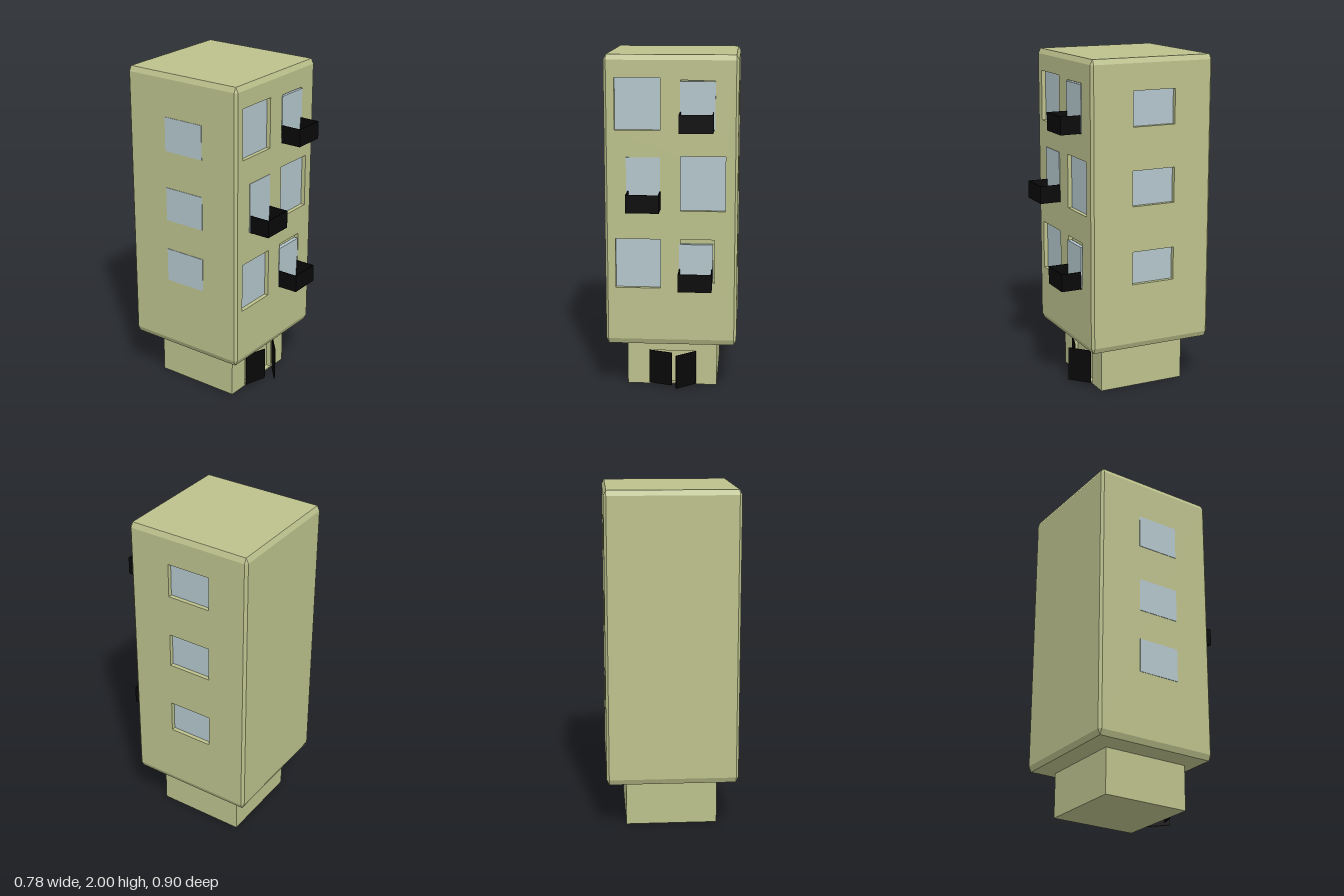
import * as THREE from 'three';

const paint = (color) => new THREE.MeshStandardMaterial({ color });

// Rectangular horizontal ring with corners cut by c, starting on the +x face
const ring = (y, x0, x1, z0, z1, c = 0) => [
  [x1, y, z1 - c], [x1, y, z0 + c], [x1 - c, y, z0], [x0 + c, y, z0],
  [x0, y, z0 + c], [x0, y, z1 - c], [x0 + c, y, z1], [x1 - c, y, z1],
];

// Skin between successive rings; skip(level, side) leaves a face out
function loft(rings, { skip = () => false, caps = false } = {}) {
  const pos = [];
  const n = rings[0].length;
  for (let k = 0; k + 1 < rings.length; k++) {
    for (let i = 0; i < n; i++) {
      if (skip(k, i)) continue;
      const j = (i + 1) % n;
      const [a, b, c, d] = [rings[k][i], rings[k][j], rings[k + 1][j], rings[k + 1][i]];
      pos.push(...a, ...b, ...c, ...a, ...c, ...d);
    }
  }
  if (caps) {
    const lo = rings[0], hi = rings[rings.length - 1];
    for (let i = 1; i + 1 < n; i++) {
      pos.push(...lo[0], ...lo[i + 1], ...lo[i], ...hi[0], ...hi[i], ...hi[i + 1]);
    }
  }
  const g = new THREE.BufferGeometry();
  g.setAttribute('position', new THREE.Float32BufferAttribute(pos, 3));
  g.computeVertexNormals();
  return g;
}

export function createModel() {
  const model = new THREE.Group();
  const plaster = paint(0xbcc18c);
  const glass = paint(0xb3c6cc);
  const black = paint(0x080808);

  const add = (parent, name, geometry, material) => {
    const mesh = new THREE.Mesh(geometry, material);
    mesh.name = name;
    parent.add(mesh);
    return mesh;
  };
  const box = (parent, name, material, x0, x1, y0, y1, z0, z1) => {
    const mesh = add(parent, name, new THREE.BoxGeometry(x1 - x0, y1 - y0, z1 - z0), material);
    mesh.position.set((x0 + x1) / 2, (y0 + y1) / 2, (z0 + z1) / 2);
    return mesh;
  };
  const corners = ([x0, x1, y0, y1], z = 0) => [[x0, y0, z], [x1, y0, z], [x1, y1, z], [x0, y1, z]];
  const outline = (rect, Type) => new Type(corners(rect).map(([x, y]) => new THREE.Vector2(x, y)));

  // Flat wall facing local +z with recessed openings [x0, x1, y0, y1, backing]
  function wall(name, rect, openings, depth) {
    const group = new THREE.Group();
    group.name = name;
    const shape = outline(rect, THREE.Shape);
    shape.holes = openings.map((o) => outline(o, THREE.Path));
    add(group, name + 'Surface', new THREE.ShapeGeometry(shape), plaster);
    for (const o of openings) {
      add(group, 'reveal', loft([corners(o), corners(o, -depth)]), plaster);
      const back = add(group, o[4] === glass ? 'windowGlass' : 'recessBack',
        new THREE.PlaneGeometry(o[1] - o[0], o[3] - o[2]), o[4]);
      back.position.set((o[0] + o[1]) / 2, (o[2] + o[3]) / 2, -depth);
    }
    model.add(group);
    return group;
  }

  // Tower with bevelled edges on a narrower base; pierced walls are added below
  const X = 0.387, Z0 = -0.45, Z1 = 0.323, C = 0.015;
  const baseRect = [-0.27, 0.27, -0.33, 0.21];
  const inset = [-X + C, X - C, Z0 + C, Z1 - C];
  add(model, 'towerBody', loft([
    ring(0, ...baseRect),
    ring(0.27, ...baseRect),
    ring(0.287, ...inset),
    ring(0.32, -X, X, Z0, Z1, C),
    ring(1.97, -X, X, Z0, Z1, C),
    ring(2, ...inset),
  ], { caps: true, skip: (k, i) => (k === 0 && i === 6) || (k === 3 && (i === 0 || i === 6)) }), plaster);

  // Front wall: three large windows and two balcony openings
  wall('frontWall', [-X + C, X - C, 0.32, 1.97], [
    [-0.325, -0.062, 1.57, 1.87, glass],
    [0.055, 0.315, 1.1, 1.42, glass],
    [-0.325, -0.062, 0.635, 0.93, glass],
    [0.055, 0.25, 1.57, 1.857, plaster],
    [0.055, 0.255, 0.67, 0.93, plaster],
  ], 0.025).position.z = Z1;

  // Wall on +x with three recessed windows
  const side = wall('sideWall', [-Z1 + C, -Z0 - C, 0.32, 1.97],
    [[1.61, 1.815], [1.148, 1.357], [0.68, 0.877]].map(([a, b]) => [-0.062, 0.206, a, b, glass]), 0.025);
  side.rotation.y = Math.PI / 2;
  side.position.x = X;

  // Flush window panes on -x
  for (const y of [1.54, 1.11, 0.72]) {
    box(model, 'sidePane', glass, -0.39, -0.38, y, y + 0.205, -0.18, 0.083);
  }

  // Balconies: open-topped thin boxes with a glass door behind each
  const balconies = [
    { x: [0.052, 0.247], y: 1.57, door: [0.052, 0.255, 1.85] },
    { x: [-0.252, -0.06], y: 1.11, door: [-0.26, -0.062, 1.413] },
    { x: [0.048, 0.243], y: 0.648, door: [0.048, 0.245, 0.902] },
  ];
  const T = 0.006, H = 0.106, F = 0.45;
  for (const { x: [a, b], y, door } of balconies) {
    const balcony = new THREE.Group();
    balcony.name = 'balcony';
    box(balcony, 'balconyFloor', black, a, b, y, y + T, Z1, F);
    box(balcony, 'balconyFront', black, a, b, y, y + H, F - T, F);
    box(balcony, 'balconySide', black, a, a + T, y, y + H, Z1, F);
    box(balcony, 'balconySide', black, b - T, b, y, y + H, Z1, F);
    box(balcony, 'balconyDoor', glass, door[0], door[1], y + T, door[2], Z1 - 0.02, Z1 + 0.004);
    model.add(balcony);
  }

  // Base front with the entrance recess
  wall('entranceWall', [-0.27, 0.27, 0, 0.27], [[-0.14, 0.14, 0.008, 0.212, plaster]], 0.03).position.z = 0.21;

  // Entrance doors standing open, each from its hinge to its free edge (x, z)
  for (const [hx, hz, ex, ez] of [[-0.137, 0.217, 0, 0.262], [0.142, 0.222, 0.03, 0.318]]) {
    const len = Math.hypot(ex - hx, ez - hz);
    const door = add(model, 'entranceDoor', new THREE.BoxGeometry(len, 0.206, 0.008), black);
    door.position.set((hx + ex) / 2, 0.112, (hz + ez) / 2);
    door.rotation.y = -Math.atan2(ez - hz, ex - hx);
  }
  return model;
}
